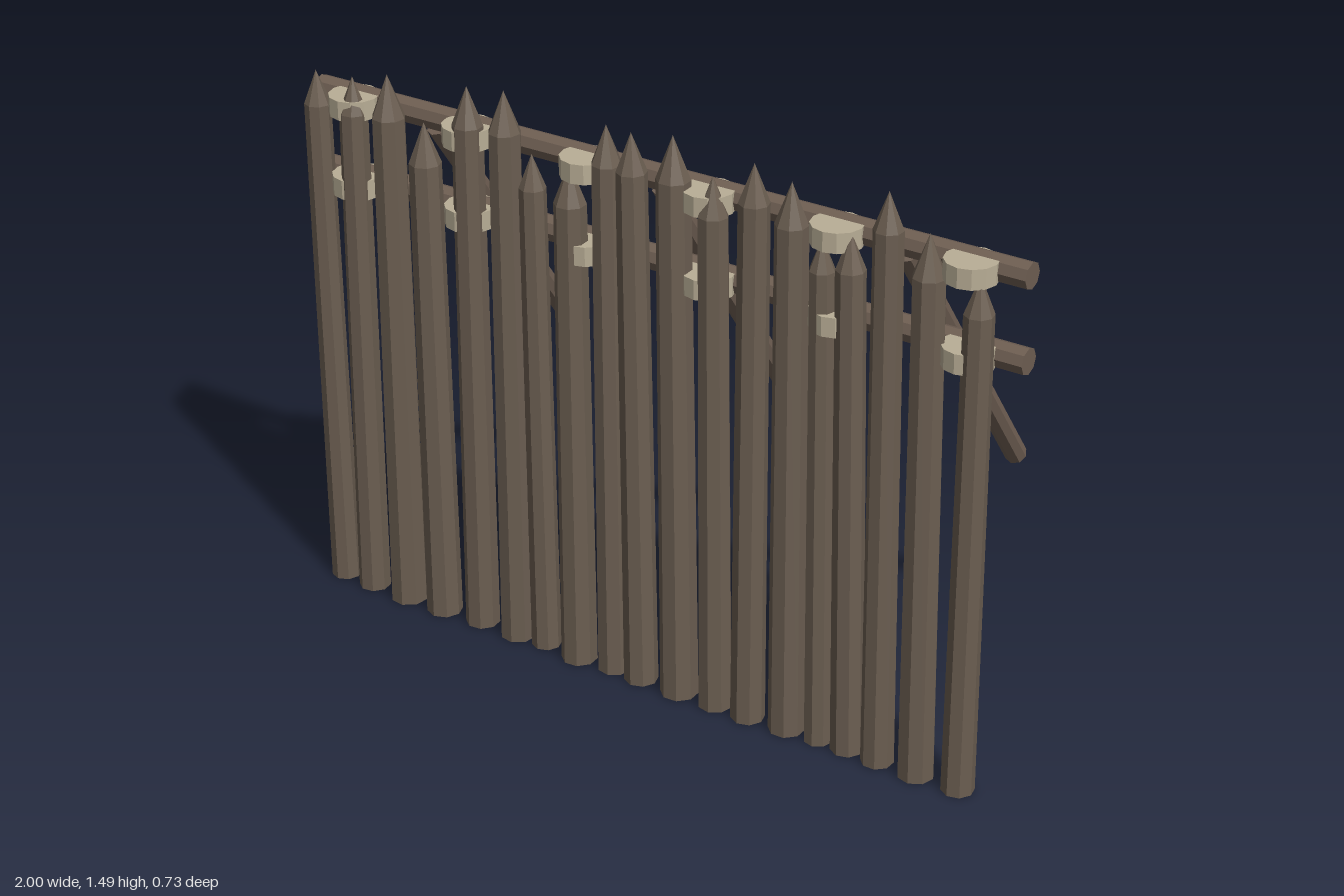
import * as THREE from 'three';

const UP = new THREE.Vector3(0, 1, 0);

// Places a y-aligned mesh so that it runs from a to b
function alignBetween(object, a, b) {
  object.position.copy(a).add(b).multiplyScalar(0.5);
  object.quaternion.setFromUnitVectors(UP, b.clone().sub(a).normalize());
}

export function createModel() {
  const stakeWood = new THREE.MeshStandardMaterial({ name: 'stake wood', color: 0x6b5e51, flatShading: true });
  const poleWood = new THREE.MeshStandardMaterial({ name: 'pole wood', color: 0x6e5e52, flatShading: true });
  const rope = new THREE.MeshStandardMaterial({ name: 'pale rope', color: 0xb9ae96, flatShading: true });

  const model = new THREE.Group();
  model.name = 'palisadeFence';

  function pole(name, a, b, radius) {
    const mesh = new THREE.Mesh(new THREE.CylinderGeometry(radius, radius, a.distanceTo(b), 8), poleWood);
    mesh.name = name;
    alignBetween(mesh, a, b);
    model.add(mesh);
  }

  // Sharpened stakes: base x, tip x, tip height, base radius, z
  const stakes = [
    [-0.948, -0.963, 1.41, 0.038, 0.31],
    [-0.85, -0.845, 1.42, 0.041, 0.315],
    [-0.735, -0.735, 1.45, 0.048, 0.317],
    [-0.62, -0.628, 1.35, 0.046, 0.317],
    [-0.503, -0.5, 1.47, 0.044, 0.31],
    [-0.388, -0.388, 1.485, 0.046, 0.313],
    [-0.302, -0.312, 1.34, 0.038, 0.31],
    [-0.193, -0.195, 1.35, 0.046, 0.32],
    [-0.093, -0.095, 1.465, 0.043, 0.31],
    [-0.007, -0.02, 1.465, 0.043, 0.317],
    [0.107, 0.097, 1.485, 0.048, 0.317],
    [0.213, 0.207, 1.41, 0.043, 0.317],
    [0.31, 0.322, 1.47, 0.043, 0.32],
    [0.418, 0.418, 1.445, 0.046, 0.313],
    [0.508, 0.5, 1.33, 0.036, 0.313],
    [0.588, 0.573, 1.36, 0.041, 0.31],
    [0.676, 0.673, 1.485, 0.041, 0.315],
    [0.783, 0.78, 1.41, 0.046, 0.315],
    [0.898, 0.91, 1.34, 0.041, 0.315],
  ];
  const stakeGroup = new THREE.Group();
  stakeGroup.name = 'stakes';
  stakes.forEach(([baseX, tipX, tipY, radius, z], i) => {
    const topRadius = radius * 0.88;
    const shoulder = tipY - topRadius * 2.6;
    const profile = [[0, 0], [radius, 0], [topRadius, shoulder], [0, tipY]]
      .map(([r, y]) => new THREE.Vector2(r, y));
    const geometry = new THREE.LatheGeometry(profile, 8, i * 1.3);
    // Shear so the stake leans while its foot stays level
    const lean = (tipX - baseX) / tipY;
    geometry.applyMatrix4(new THREE.Matrix4().set(1, lean, 0, 0, 0, 1, 0, 0, 0, 0, 1, 0, 0, 0, 0, 1));
    const stake = new THREE.Mesh(geometry, stakeWood);
    stake.name = 'stake';
    stake.position.set(baseX, 0, z);
    stakeGroup.add(stake);
  });
  model.add(stakeGroup);

  // Two horizontal rails, each with a row of round lashings
  const lashing = new THREE.CylinderGeometry(0.064, 0.064, 0.05, 12);
  for (const [name, y] of [['upper', 1.335], ['lower', 1.125]]) {
    pole(name + 'Rail', new THREE.Vector3(-1, y, 0.245), new THREE.Vector3(1, y, 0.245), 0.033);
    for (let i = 0; i < 6; i++) {
      const mesh = new THREE.Mesh(lashing, rope);
      mesh.name = name + 'Lashing';
      mesh.position.set(-0.867 + i * 0.347, y, 0.284);
      model.add(mesh);
    }
  }

  // Sloping braces behind the fence
  for (const x of [-0.665, 0, 0.665]) {
    pole('brace', new THREE.Vector3(x, 1.298, 0.217), new THREE.Vector3(x, 0.536, -0.343), 0.028);
  }

  return model;
}
